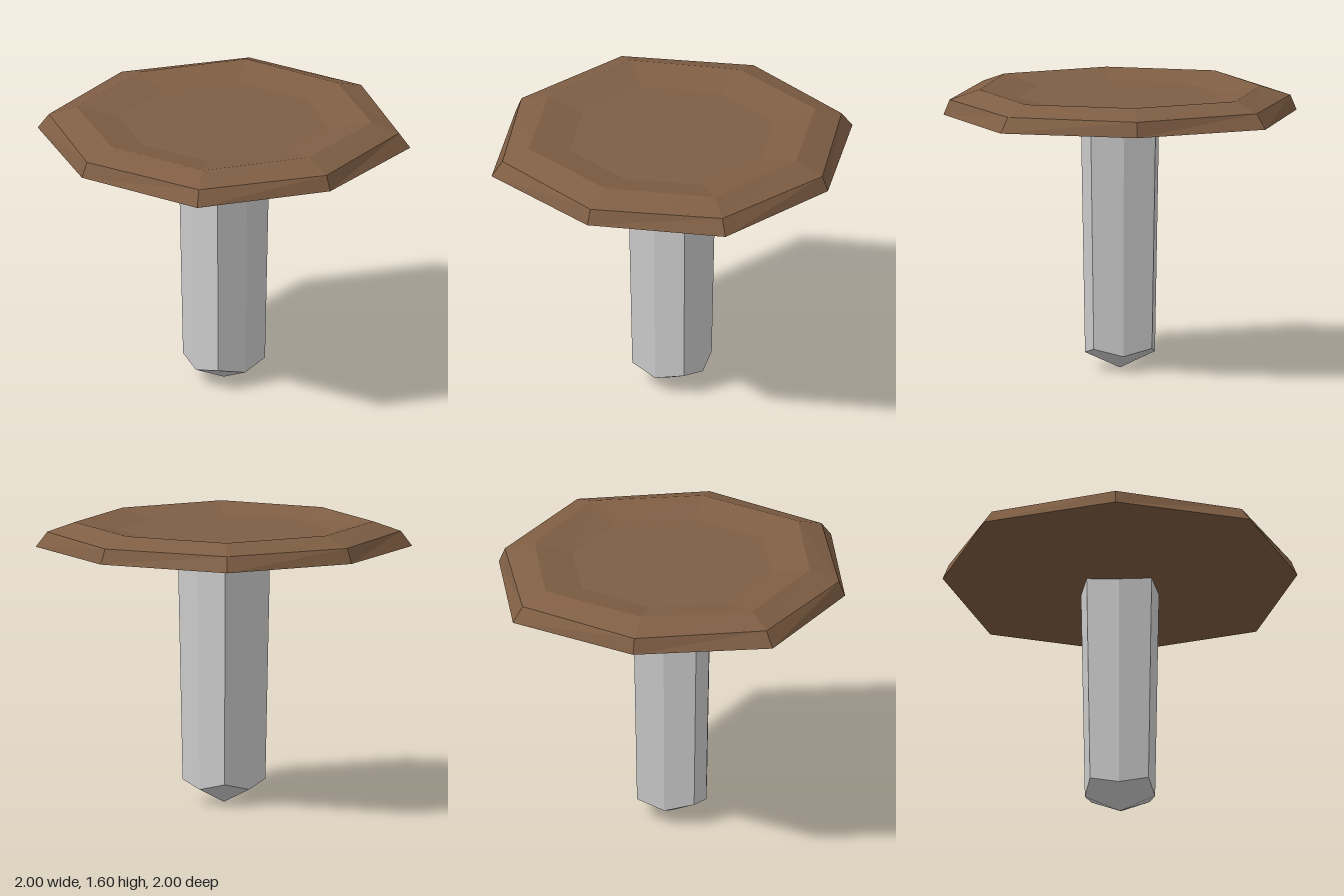
import * as THREE from 'three';

// Eight-sided ring: corners on the axes at distance r, height y;
// corners on the diagonals at (d, d), height dy.
function ringPoints([r, y, d, dy = y]) {
  return Array.from({ length: 8 }, (_, i) => {
    const a = (i * Math.PI) / 4;
    const diagonal = i % 2 === 1;
    const radius = diagonal ? d * Math.SQRT2 : r;
    return new THREE.Vector3(Math.sin(a) * radius, diagonal ? dy : y, Math.cos(a) * radius);
  });
}

// Skin between successive rings, from the lowest outward and upward.
// A ring of radius 0 is a single point.
function loft(name, rings, color) {
  const loops = rings.map(ringPoints);
  const points = [];
  for (let k = 0; k < loops.length - 1; k++) {
    const low = loops[k], high = loops[k + 1];
    for (let i = 0; i < 8; i++) {
      const j = (i + 1) % 8;
      if (rings[k][0] > 0) points.push(low[i], low[j], high[j]);
      if (rings[k + 1][0] > 0) points.push(low[i], high[j], high[i]);
    }
  }
  const geometry = new THREE.BufferGeometry().setFromPoints(points);
  geometry.computeVertexNormals();
  const mesh = new THREE.Mesh(geometry, new THREE.MeshStandardMaterial({ color, flatShading: true }));
  mesh.name = name;
  return mesh;
}

export function createModel() {
  const model = new THREE.Group();
  model.name = 'pedestalTable';

  const joint = [0.22, 1.34, 0.183, 1.36]; // where the stem meets the top

  // Stem with a blunt pointed foot
  model.add(loft('stem', [
    [0, 0, 0],
    [0.198, 0.09, 0.165, 0.13],
    joint,
  ], 0xcccccc));

  // Table top: sloping underside, rim, bevel, lip and shallow dish
  model.add(loft('tableTop', [
    joint,
    [1, 1.455, 0.75],
    [0.965, 1.54, 0.705],
    [0.795, 1.595, 0.595],
    [0.575, 1.55, 0.425],
    [0, 1.55, 0],
  ], 0x7f5e44));

  return model;
}
